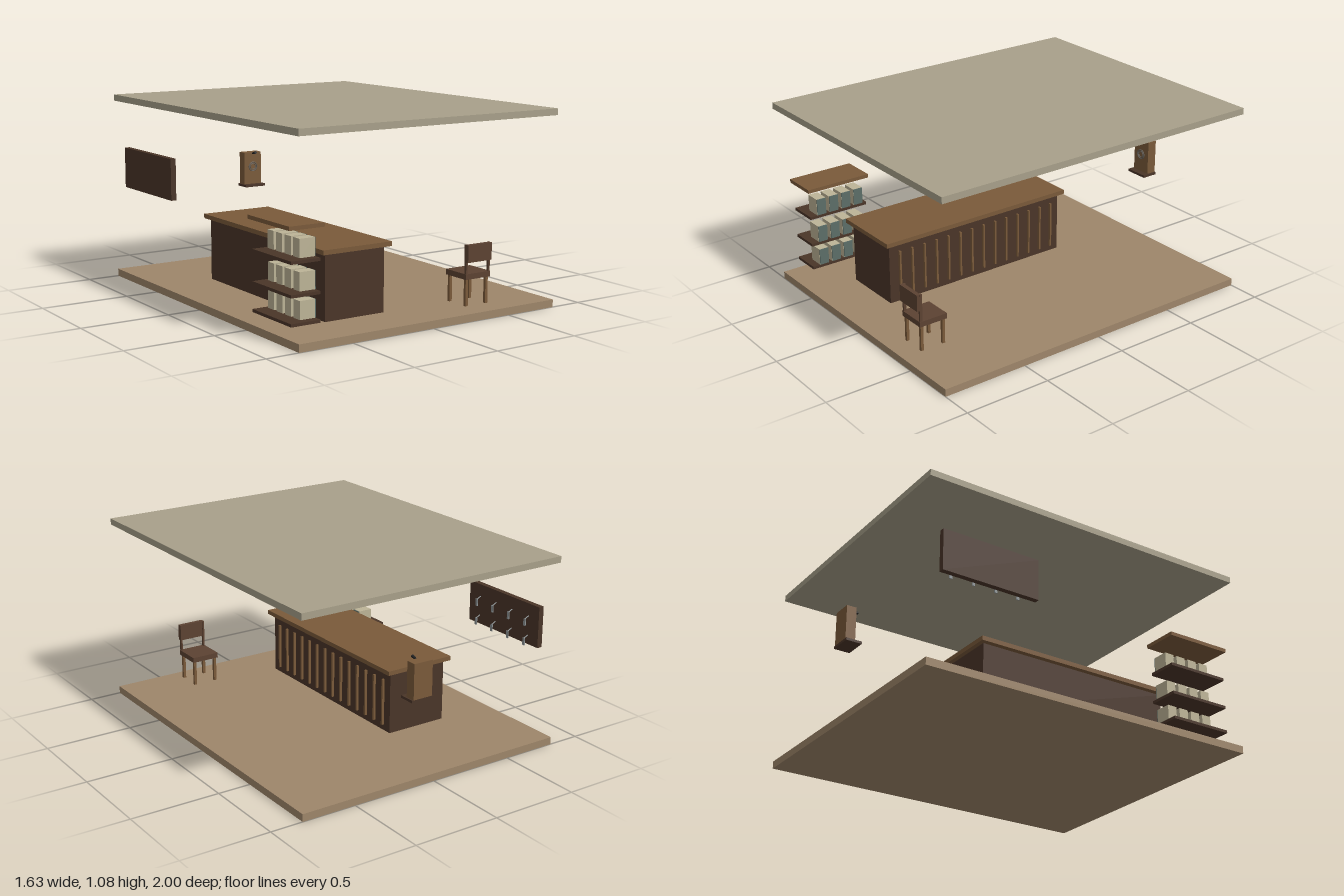
import * as THREE from 'three';

const mat = (color) => new THREE.MeshStandardMaterial({ color });
const M = {
  floor: mat(0x9e866a), ceiling: mat(0xa8a08a), wood: mat(0x7a5a3a), darkWood: mat(0x4a3528),
  chairWood: mat(0x5c4232), paper: mat(0xbdb497), spine: mat(0x5c6e68),
  metal: mat(0x8c9294), ring: mat(0x68625a), black: mat(0x222222),
};

// Box given by its extents on each axis
function box(parent, name, material, [x0, x1], [y0, y1], [z0, z1]) {
  const mesh = new THREE.Mesh(new THREE.BoxGeometry(x1 - x0, y1 - y0, z1 - z0), material);
  mesh.position.set((x0 + x1) / 2, (y0 + y1) / 2, (z0 + z1) / 2);
  mesh.name = name;
  parent.add(mesh);
  return mesh;
}

// Round bar between two points
function rod(parent, name, material, a, b, r0, r1 = r0) {
  const from = new THREE.Vector3(...a), to = new THREE.Vector3(...b);
  const dir = to.clone().sub(from);
  const mesh = new THREE.Mesh(new THREE.CylinderGeometry(r1, r0, dir.length(), 12), material);
  mesh.position.copy(from).add(to).multiplyScalar(0.5);
  mesh.quaternion.setFromUnitVectors(new THREE.Vector3(0, 1, 0), dir.normalize());
  mesh.name = name;
  parent.add(mesh);
}

function group(parent, name) {
  const g = new THREE.Group();
  g.name = name;
  parent.add(g);
  return g;
}

function buildCounter(root) {
  const g = group(root, 'counter');
  box(g, 'counterBody', M.darkWood, [-0.48, -0.113], [0.04, 0.397], [-0.46, 0.72]);
  box(g, 'counterTop', M.wood, [-0.51, -0.083], [0.397, 0.422], [-0.485, 0.75]);
  // Raised slats along the customer side
  for (let i = 0; i < 14; i++) {
    const z = 0.655 - i * 0.0813;
    box(g, 'counterSlat', M.wood, [-0.113, -0.099], [0.076, 0.347], [z - 0.0055, z + 0.0055]);
  }
}

function buildShelves(root) {
  const g = group(root, 'shelves');
  box(g, 'topShelf', M.wood, [-0.818, -0.614], [0.582, 0.603], [0.53, 0.92]);
  for (const y of [0.118, 0.262, 0.428]) {
    box(g, 'shelf', M.darkWood, [-0.8, -0.63], [y - 0.016, y], [0.54, 0.907]);
    // Row of ledgers with tinted spines
    for (let i = 0; i < 4; i++) {
      const z = 0.833 - i * 0.08;
      box(g, 'ledger', M.paper, [-0.722, -0.633], [y, y + 0.096], [z - 0.029, z + 0.029]);
      box(g, 'ledgerSpine', M.spine, [-0.633, -0.628], [y + 0.001, y + 0.095], [z - 0.028, z + 0.028]);
    }
  }
}

function buildKeyBoard(root) {
  const g = group(root, 'keyBoard');
  box(g, 'keyPanel', M.darkWood, [-0.797, -0.766], [0.546, 0.778], [-0.907, -0.333]);
  for (const y of [0.694, 0.583]) {
    for (let i = 0; i < 4; i++) {
      const z = -0.423 - i * 0.134;
      rod(g, 'keyHook', M.metal, [-0.768, y + 0.014, z], [-0.739, y, z], 0.003);
      box(g, 'key', M.metal, [-0.742, -0.737], [y - 0.038, y + 0.002], [z - 0.008, z + 0.008]);
    }
  }
}

function buildWallPhone(root) {
  const g = group(root, 'wallPhone');
  box(g, 'phoneCase', M.wood, [0.025, 0.142], [0.484, 0.68], [-0.997, -0.939]);
  box(g, 'phoneLedge', M.darkWood, [0.015, 0.151], [0.47, 0.484], [-0.997, -0.904]);
  // Dial made of two concentric rings
  for (const [r, tube] of [[0.027, 0.0035], [0.018, 0.003]]) {
    const ring = new THREE.Mesh(new THREE.TorusGeometry(r, tube, 8, 32), M.ring);
    ring.position.set(0.083, 0.592, -0.935);
    ring.name = 'dialRing';
    g.add(ring);
  }
  // Mouthpiece
  rod(g, 'mouthpieceArm', M.black, [0.083, 0.672, -0.942], [0.083, 0.678, -0.918], 0.005);
  rod(g, 'mouthpiece', M.black, [0.083, 0.677, -0.925], [0.083, 0.683, -0.902], 0.006, 0.009);
}

function buildChair(root) {
  const g = group(root, 'chair');
  box(g, 'seat', M.chairWood, [0.287, 0.452], [0.198, 0.228], [0.733, 0.902]);
  box(g, 'backRest', M.chairWood, [0.29, 0.449], [0.291, 0.385], [0.891, 0.915]);
  for (const x of [0.302, 0.436]) {
    for (const z of [0.75, 0.885]) {
      box(g, 'chairLeg', M.wood, [x - 0.008, x + 0.008], [0.053, 0.2], [z - 0.008, z + 0.008]);
    }
  }
  for (const x of [0.295, 0.445]) {
    box(g, 'backPost', M.chairWood, [x - 0.005, x + 0.005], [0.21, 0.385], [0.884, 0.9]);
  }
}

export function createModel() {
  const root = new THREE.Group();
  root.name = 'receptionRoom';
  box(root, 'floor', M.floor, [-0.815, 0.815], [0, 0.042], [-1, 1]);
  box(root, 'ceiling', M.ceiling, [-0.815, 0.815], [1.045, 1.081], [-1, 1]);
  buildCounter(root);
  buildShelves(root);
  buildKeyBoard(root);
  buildWallPhone(root);
  buildChair(root);
  return root;
}
